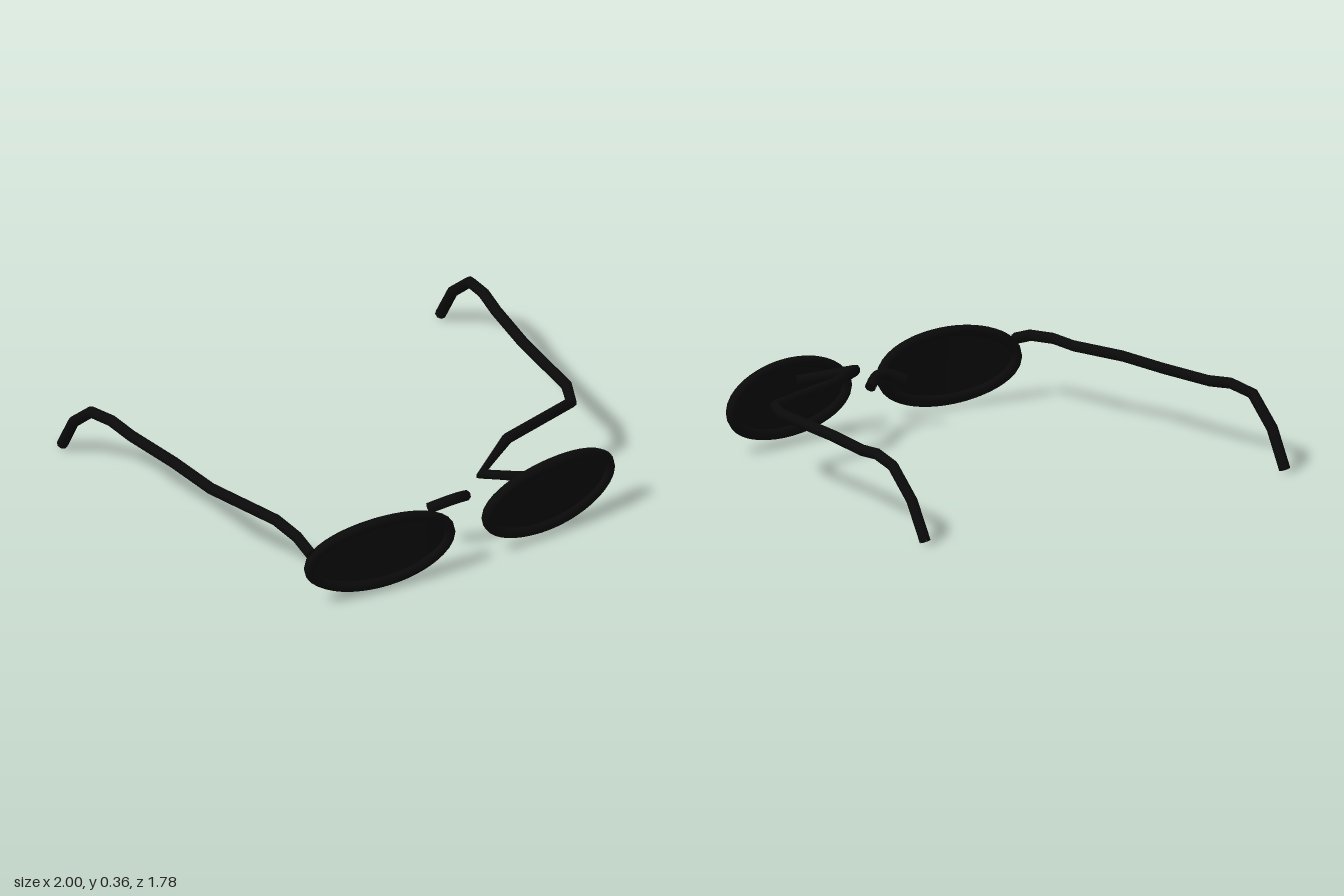
import * as THREE from 'three';

const frameBlack = new THREE.MeshStandardMaterial({ color: 0x0a0a0a });
frameBlack.name = 'frame black';
const lensBlack = new THREE.MeshStandardMaterial({ color: 0x0b0b0b, side: THREE.DoubleSide });
lensBlack.name = 'lens black';

const WIRE = 0.025;

// Straight-segment path whose joints take the averaged direction
class WirePath extends THREE.Curve {
  constructor(points) {
    super();
    this.points = points.map((p) => new THREE.Vector3(...p));
  }
  getPointAt(t, target = new THREE.Vector3()) {
    const f = t * (this.points.length - 1);
    const i = Math.min(Math.floor(f + 1e-6), this.points.length - 2);
    return target.lerpVectors(this.points[i], this.points[i + 1], f - i);
  }
  getTangentAt(t, target = new THREE.Vector3()) {
    const p = this.points, last = p.length - 1, i = Math.round(t * last);
    target.set(0, 0, 0);
    if (i > 0) target.add(p[i].clone().sub(p[i - 1]).normalize());
    if (i < last) target.add(p[i + 1].clone().sub(p[i]).normalize());
    return target.normalize();
  }
}

// Capped wire through a list of points
function wire(name, points) {
  const group = new THREE.Group();
  group.name = name;
  const path = new WirePath(points);
  const tube = new THREE.Mesh(new THREE.TubeGeometry(path, points.length - 1, WIRE, 8, false), frameBlack);
  tube.name = name + 'Wire';
  group.add(tube);
  for (const end of [0, 1]) {
    const cap = new THREE.Mesh(new THREE.CircleGeometry(WIRE, 8), frameBlack);
    const out = path.getTangentAt(end).multiplyScalar(end ? 1 : -1);
    cap.quaternion.setFromUnitVectors(new THREE.Vector3(0, 0, 1), out);
    cap.position.copy(path.getPointAt(end));
    cap.name = name + 'Cap';
    group.add(cap);
  }
  return group;
}

// The front wraps gently back towards the temples
const wrapZ = (x) => 0.866 - 0.16 * (Math.abs(x) - 0.1) ** 2;
const EYE = { x: 0.434, y: 0.197, rx: 0.338, ry: 0.152 };

class RimPath extends THREE.Curve {
  constructor(side) {
    super();
    this.side = side;
  }
  getPoint(t, target = new THREE.Vector3()) {
    const a = t * Math.PI * 2;
    const x = this.side * EYE.x + EYE.rx * Math.cos(a);
    return target.set(x, EYE.y + EYE.ry * Math.sin(a), wrapZ(x));
  }
}

function eyepiece(side, label) {
  const group = new THREE.Group();
  group.name = label + 'Eyepiece';
  const rim = new THREE.Mesh(new THREE.TubeGeometry(new RimPath(side), 48, WIRE, 8, true), frameBlack);
  rim.name = label + 'Rim';

  // Lens: disc bent to follow the wrap
  const disc = new THREE.RingGeometry(0.001, 1, 48, 5);
  const pos = disc.attributes.position;
  for (let i = 0; i < pos.count; i++) {
    const x = side * EYE.x + pos.getX(i) * EYE.rx;
    pos.setXYZ(i, x, EYE.y + pos.getY(i) * EYE.ry, wrapZ(x));
  }
  disc.computeVertexNormals();
  const lens = new THREE.Mesh(disc, lensBlack);
  lens.name = label + 'Lens';
  group.add(rim, lens);
  return group;
}

export function createModel() {
  const model = new THREE.Group();
  model.name = 'sunglasses';
  model.add(eyepiece(1, 'left'), eyepiece(-1, 'right'));

  // Arched nose bridge, set behind the lenses
  const arch = [];
  for (let i = 0; i <= 8; i++) {
    const x = -0.095 + (0.19 * i) / 8;
    const rise = Math.cos((x / 0.095) * Math.PI / 2);
    arch.push([x, 0.222 + 0.035 * rise, 0.695 + 0.042 * rise]);
  }
  model.add(wire('bridge', arch));

  // Right temple, opened out
  model.add(wire('rightTemple', [
    [-0.77, 0.275, 0.80], [-0.775, 0.31, 0.70], [-0.79, 0.325, 0.555],
    [-0.81, 0.315, 0.435], [-0.88, 0.315, 0.175], [-0.90, 0.315, -0.09],
    [-0.938, 0.315, -0.37], [-0.957, 0.33, -0.50], [-0.975, 0.31, -0.635],
    [-0.975, 0.185, -0.775], [-0.973, 0.022, -0.868],
  ]));

  // Left temple, its front end folded in behind the lens
  model.add(wire('leftTemple', [
    [0.40, 0.275, 0.815], [0.17, 0.31, 0.70], [0.41, 0.325, 0.54],
    [0.81, 0.315, 0.43], [0.866, 0.315, 0.305], [0.898, 0.315, -0.10],
    [0.938, 0.315, -0.37], [0.957, 0.33, -0.50], [0.973, 0.31, -0.635],
    [0.975, 0.185, -0.775], [0.973, 0.022, -0.868],
  ]));
  return model;
}
